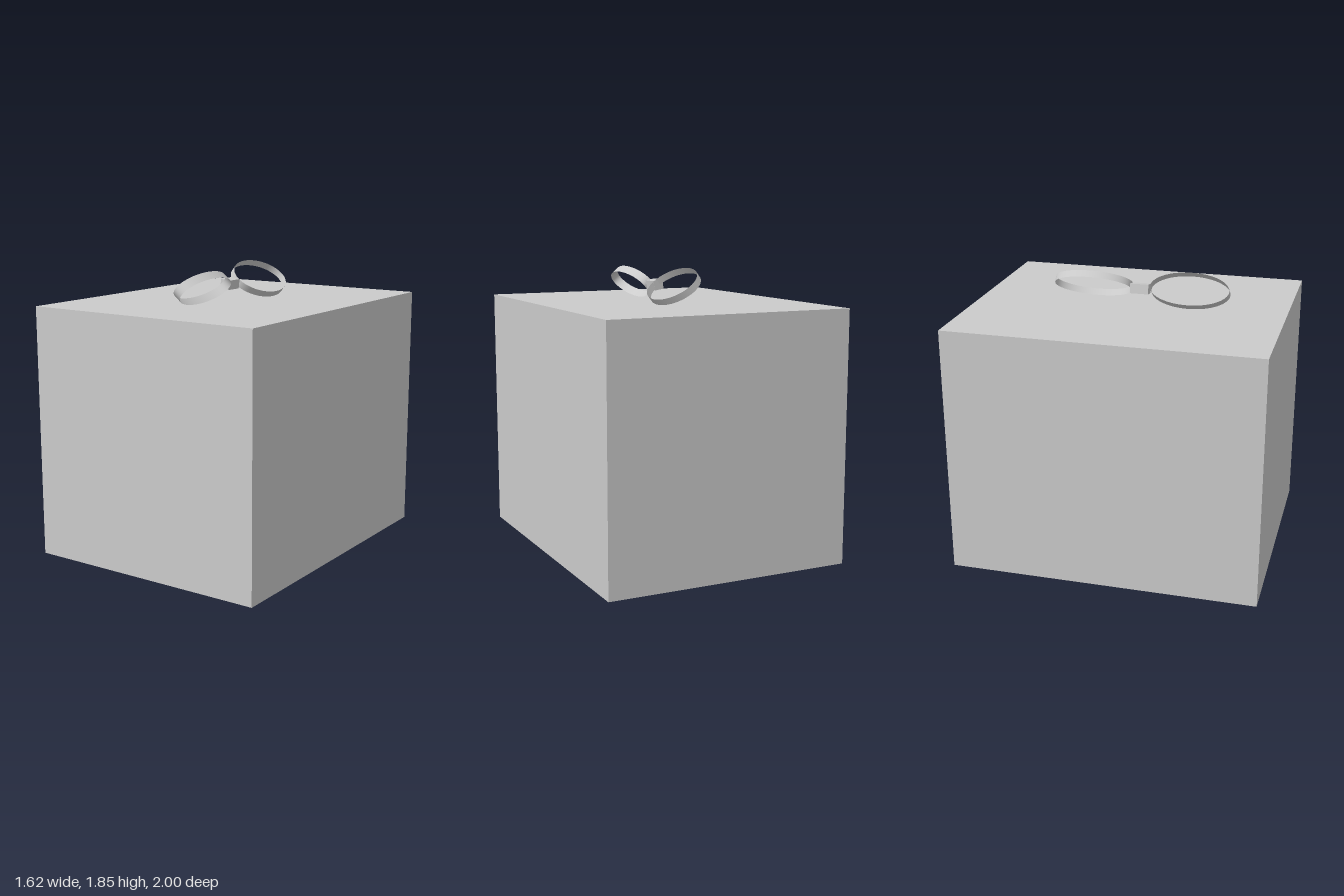
import * as THREE from 'three';

export function createModel() {
  const group = new THREE.Group();
  const grey = new THREE.MeshStandardMaterial({ color: 0xcccccc });
  const ribbon = new THREE.MeshStandardMaterial({ color: 0xcccccc, side: THREE.DoubleSide });

  function add(name, geometry, material, x, y, z, tilt = 0) {
    const mesh = new THREE.Mesh(geometry, material);
    mesh.name = name;
    mesh.position.set(x, y, z);
    mesh.rotation.z = tilt;
    group.add(mesh);
  }

  // thin open elliptical band: across x, band width along y, length along z
  function band(across, width, length) {
    return new THREE.CylinderGeometry(0.5, 0.5, 1, 64, 1, true).scale(across, width, length);
  }

  // gift box
  add('box', new THREE.BoxGeometry(1.62, 1.625, 2), grey, 0, 0.8125, 0);

  // bow: two tilted ribbon loops joined by a knot
  add('frontLoop', band(0.225, 0.06, 0.515), ribbon, 0.025, 1.733, 0.372, 0.88);
  add('backLoop', band(0.31, 0.045, 0.515), ribbon, 0.027, 1.738, -0.265, -0.665);
  add('knot', new THREE.BoxGeometry(0.065, 0.062, 0.12), grey, 0.008, 1.73, 0.05, -0.15);

  return group;
}
